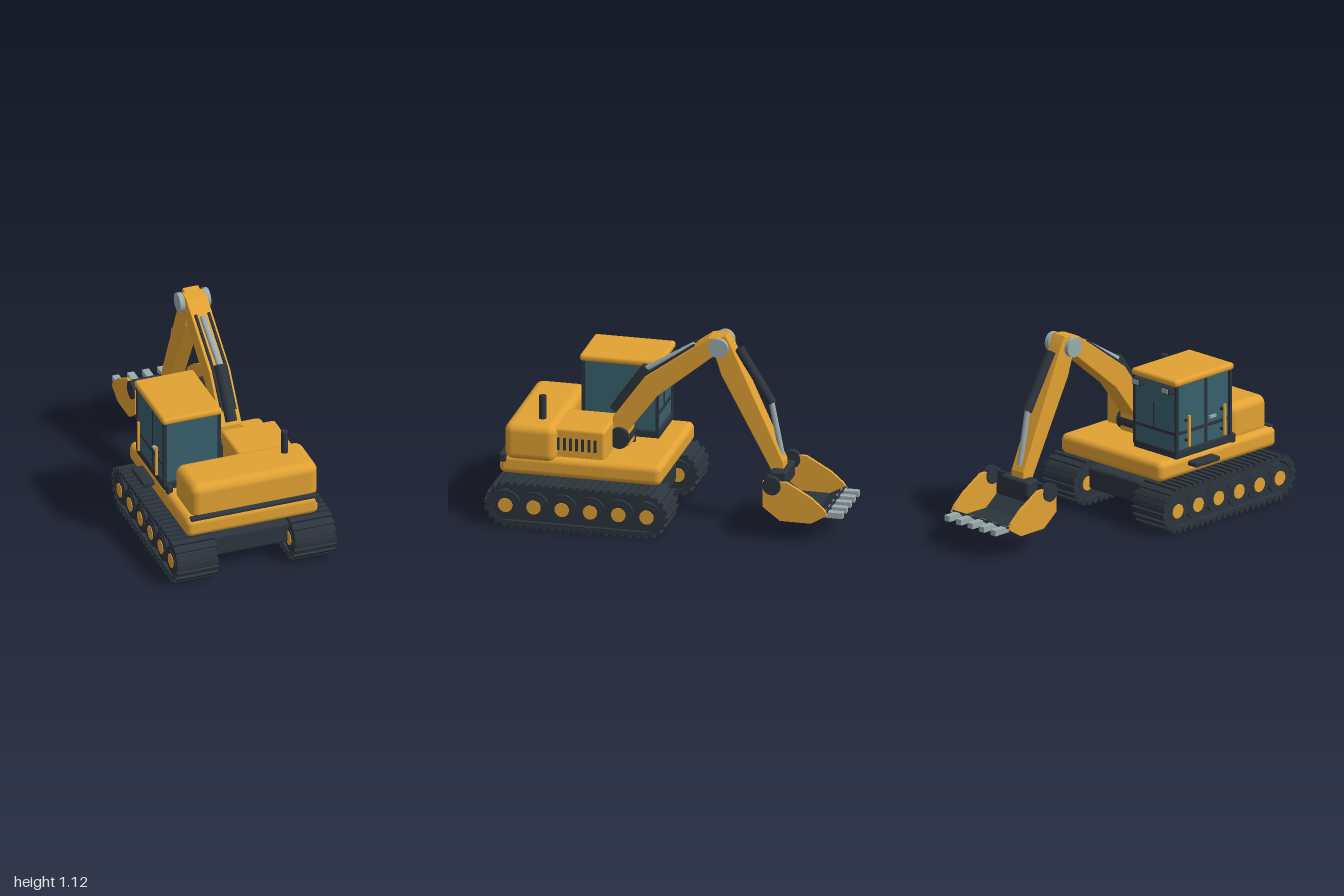
import * as THREE from 'three';
import { RoundedBoxGeometry } from 'three/addons/geometries/RoundedBoxGeometry.js';

const mat = (name, color) => {
  const m = new THREE.MeshStandardMaterial({ color });
  m.name = name;
  return m;
};

export function createModel() {
  const yellow = mat('yellow paint', 0xe2a233);
  const dark = mat('dark steel', 0x2c343d);
  const glass = mat('tinted glass', 0x38606d);
  const grey = mat('bare metal', 0x9aabad);
  const model = new THREE.Group();
  model.name = 'excavator';

  const group = (name) => {
    const g = new THREE.Group();
    g.name = name;
    model.add(g);
    return g;
  };
  const add = (parent, name, geo, material) => {
    const m = new THREE.Mesh(geo, material);
    m.name = name;
    parent.add(m);
    return m;
  };
  // Box given by its extents; r > 0 rounds the edges
  const box = (parent, name, material, [x0, x1], [y0, y1], [z0, z1], r = 0) => {
    const s = [x1 - x0, y1 - y0, z1 - z0];
    const geo = r ? new RoundedBoxGeometry(...s, 4, r) : new THREE.BoxGeometry(...s);
    const m = add(parent, name, geo, material);
    m.position.set((x0 + x1) / 2, (y0 + y1) / 2, (z0 + z1) / 2);
    return m;
  };
  // Cylinder along x
  const axle = (parent, name, material, x0, x1, y, z, r, sides = 28) => {
    const geo = new THREE.CylinderGeometry(r, r, x1 - x0, sides).rotateZ(Math.PI / 2);
    add(parent, name, geo, material).position.set((x0 + x1) / 2, y, z);
  };
  // Cylinder between two [z, y] points at a given x
  const rod = (parent, name, material, x, a, b, r) => {
    const p = new THREE.Vector3(x, a[1], a[0]), q = new THREE.Vector3(x, b[1], b[0]);
    const m = add(parent, name, new THREE.CylinderGeometry(r, r, p.distanceTo(q), 20), material);
    m.position.copy(p).add(q).multiplyScalar(0.5);
    m.quaternion.setFromUnitVectors(new THREE.Vector3(0, 1, 0), q.sub(p).normalize());
  };
  // Side profile of [z, y] points extruded from x0 to x1
  const profile = (parent, name, material, pts, x0, x1, bevel = 0) => {
    const shape = new THREE.Shape(pts.map(([z, y]) => new THREE.Vector2(-z, y)));
    const geo = new THREE.ExtrudeGeometry(shape, {
      depth: x1 - x0 - 2 * bevel, bevelEnabled: bevel > 0, bevelThickness: bevel,
      bevelSize: bevel, bevelOffset: -bevel, bevelSegments: 2,
    }).rotateY(Math.PI / 2);
    add(parent, name, geo, material).position.x = x0 + bevel;
  };

  // Crawler tracks
  const cz = 0.475, cy = 0.135, half = 0.39, R = 0.12;
  const stadium = (C, r) => {
    const s = new C();
    s.absarc(half, 0, r, -Math.PI / 2, Math.PI / 2, false);
    s.absarc(-half, 0, r, Math.PI / 2, Math.PI * 1.5, false);
    s.closePath();
    return s;
  };
  const beltShape = stadium(THREE.Shape, R);
  beltShape.holes.push(stadium(THREE.Path, R - 0.025));
  const straight = 2 * half, arc = Math.PI * R, loop = 2 * (straight + arc), shoes = 52;
  for (const side of [-1, 1]) {
    const t = group(side > 0 ? 'leftTrack' : 'rightTrack');
    t.position.set(side * 0.3475, cy, cz);
    const belt = new THREE.ExtrudeGeometry(beltShape, { depth: 0.235, bevelEnabled: false, curveSegments: 20 });
    add(t, 'trackBelt', belt.translate(0, 0, -0.1175).rotateY(Math.PI / 2), dark);
    box(t, 'trackFrame', dark, [-0.095, 0.095], [-0.096, 0.096], [-half, half]);
    for (let i = 0; i < shoes; i++) {
      let d = (i / shoes) * loop, z, y, a;
      const lower = d >= loop / 2;
      if (lower) d -= loop / 2;
      if (d < straight) { z = half - d; y = R; a = 0; }
      else {
        a = (d - straight) / R;
        z = -half - Math.sin(a) * R;
        y = Math.cos(a) * R;
      }
      const shoe = box(t, 'trackShoe', dark, [-0.1225, 0.1225], [-0.013, 0.013], [-0.012, 0.012]);
      shoe.position.set(0, lower ? -y : y, lower ? -z : z);
      shoe.rotation.x = -a + (lower ? Math.PI : 0);
    }
    for (let i = 0; i < 6; i++) {
      const z = (i - 2.5) * 0.161;
      axle(t, 'roadWheel', dark, -0.113, 0.113, -0.005, z, 0.084);
      axle(t, 'wheelRim', dark, -0.117, 0.117, -0.005, z, 0.062);
      axle(t, 'wheelHub', yellow, -0.121, 0.121, -0.005, z, 0.041, 20);
    }
  }

  // Undercarriage and slewing ring
  const base = group('undercarriage');
  box(base, 'crossFrame', dark, [-0.24, 0.24], [0.095, 0.225], [0.08, 0.87], 0.02);
  const ring = add(base, 'slewRing', new THREE.CylinderGeometry(0.28, 0.28, 0.08, 48), dark);
  ring.position.set(0, 0.255, cz);

  // Upper body
  const body = group('upperBody');
  box(body, 'deck', yellow, [-0.39, 0.39], [0.285, 0.4], [0.012, 0.935], 0.035);
  box(body, 'counterweight', yellow, [-0.348, 0.4], [0.365, 0.585], [0.61, 0.905], 0.05);
  box(body, 'engineHousing', yellow, [0.03, 0.35], [0.385, 0.567], [0.34, 0.66], 0.018);
  for (let i = 0; i < 7; i++) {
    const z = 0.395 + i * 0.035;
    box(body, 'ventSlot', dark, [0.346, 0.354], [0.44, 0.512], [z - 0.008, z + 0.008]);
  }
  box(body, 'rearBumper', dark, [-0.365, 0.39], [0.385, 0.407], [0.895, 0.932], 0.008);
  box(body, 'bumperEnd', dark, [0.362, 0.396], [0.355, 0.405], [0.89, 0.932], 0.012);
  box(body, 'bumperEnd', dark, [-0.388, -0.35], [0.385, 0.44], [0.575, 0.615], 0.012);
  const pipe = add(body, 'exhaustPipe', new THREE.CylinderGeometry(0.02, 0.02, 0.16, 20), dark);
  pipe.position.set(0.267, 0.64, 0.715);
  box(body, 'sideStep', dark, [-0.456, -0.38], [0.34, 0.368], [0.23, 0.42], 0.01);

  // Operator cab
  const cab = group('cab');
  box(cab, 'cabFloor', dark, [-0.392, -0.06], [0.395, 0.442], [0.135, 0.575], 0.008);
  box(cab, 'cabGlass', glass, [-0.38, -0.07], [0.43, 0.83], [0.147, 0.563]);
  box(cab, 'cabRoof', yellow, [-0.402, -0.05], [0.817, 0.858], [0.123, 0.588], 0.018);
  for (const x of [-0.393, -0.073])
    for (const z of [0.137, 0.557]) box(cab, 'cabPost', dark, [x, x + 0.018], [0.42, 0.825], [z, z + 0.018]);
  box(cab, 'doorPost', dark, [-0.386, -0.376], [0.43, 0.825], [0.37, 0.388]);
  box(cab, 'doorRail', dark, [-0.386, -0.376], [0.53, 0.548], [0.14, 0.57]);
  box(cab, 'frontRail', dark, [-0.39, -0.06], [0.53, 0.548], [0.139, 0.151]);
  box(cab, 'wiper', dark, [-0.215, -0.207], [0.548, 0.69], [0.14, 0.149]);
  box(cab, 'doorHandle', grey, [-0.396, -0.38], [0.575, 0.589], [0.4, 0.45]);
  for (const z of [0.22, 0.5]) {
    box(cab, 'grabRail', yellow, [-0.415, -0.402], [0.46, 0.64], [z - 0.007, z + 0.007]);
    for (const y of [0.485, 0.6]) box(cab, 'railMount', dark, [-0.405, -0.375], [y, y + 0.015], [z - 0.006, z + 0.006]);
  }
  for (const x of [-0.34, -0.112]) {
    box(cab, 'workLight', dark, [x - 0.032, x + 0.032], [0.775, 0.815], [0.1, 0.15], 0.007);
    box(cab, 'lightLens', grey, [x - 0.024, x + 0.024], [0.782, 0.808], [0.096, 0.104]);
  }

  // Boom with its ram and hoses
  const boom = group('boom');
  profile(boom, 'boomArm', yellow, [[0.35, 0.42], [0.345, 0.585], [0.165, 0.835], [-0.2, 1.1], [-0.262, 1.11],
    [-0.3, 1.06], [-0.275, 1.0], [-0.225, 0.99], [0.09, 0.73], [0.25, 0.52], [0.25, 0.42]], 0.03, 0.155, 0.006);
  axle(boom, 'boomPivot', dark, 0.005, 0.18, 0.47, 0.305, 0.06);
  box(boom, 'boomBracket', dark, [0.005, 0.028], [0.39, 0.49], [0.25, 0.385]);
  rod(boom, 'boomRamBarrel', dark, 0.093, [0.345, 0.61], [0.16, 0.872], 0.033);
  rod(boom, 'boomRamRod', grey, 0.093, [0.165, 0.865], [-0.105, 1.03], 0.018);
  for (const x of [0.055, 0.132]) {
    rod(boom, 'hose', dark, x, [0.3, 0.655], [0.16, 0.848], 0.009);
    rod(boom, 'hose', dark, x, [0.16, 0.848], [-0.115, 1.043], 0.009);
  }
  for (const x of [0.002, 0.155]) axle(boom, 'elbowPin', grey, x, x + 0.028, 1.053, -0.262, 0.055);

  // Stick with its ram
  const stick = group('stick');
  profile(stick, 'stickArm', yellow, [[-0.23, 1.06], [-0.238, 0.98], [-0.27, 0.88], [-0.575, 0.31], [-0.63, 0.31],
    [-0.625, 0.4], [-0.32, 1.075], [-0.297, 1.117], [-0.25, 1.105]], 0.045, 0.14, 0.006);
  rod(stick, 'stickRamBarrel', dark, 0.092, [-0.36, 1.035], [-0.548, 0.73], 0.027);
  rod(stick, 'stickRamRod', grey, 0.092, [-0.545, 0.735], [-0.605, 0.43], 0.016);

  // Bucket: dark folded shell between yellow cheek plates
  const bucket = group('bucket');
  const cheek = [[-0.552, 0.35], [-0.552, 0.2], [-0.65, 0.125], [-0.83, 0.125], [-0.92, 0.18],
    [-0.9, 0.212], [-0.83, 0.272], [-0.69, 0.352]];
  for (const x of [-0.137, 0.302]) profile(bucket, 'cheekPlate', yellow, cheek, x, x + 0.02);
  profile(bucket, 'bucketShell', dark, [[-0.556, 0.345], [-0.556, 0.202], [-0.652, 0.129], [-0.829, 0.129],
    [-0.918, 0.183], [-0.912, 0.194], [-0.825, 0.147], [-0.658, 0.147], [-0.574, 0.21], [-0.574, 0.345]], -0.125, 0.31);
  for (const x of [-0.147, 0.297]) axle(bucket, 'bucketPin', dark, x, x + 0.032, 0.326, -0.604, 0.052);
  box(bucket, 'bucketMount', dark, [-0.015, 0.197], [0.27, 0.365], [-0.655, -0.56], 0.015);
  for (let i = 0; i < 5; i++) {
    const x = 0.0925 + (i - 2) * 0.089;
    box(bucket, 'tooth', grey, [x - 0.02, x + 0.02], [0.156, 0.188], [-1, -0.895]);
    box(bucket, 'wearStrip', dark, [x - 0.012, x + 0.012], [0.106, 0.13], [-0.815, -0.663]);
  }
  return model;
}
